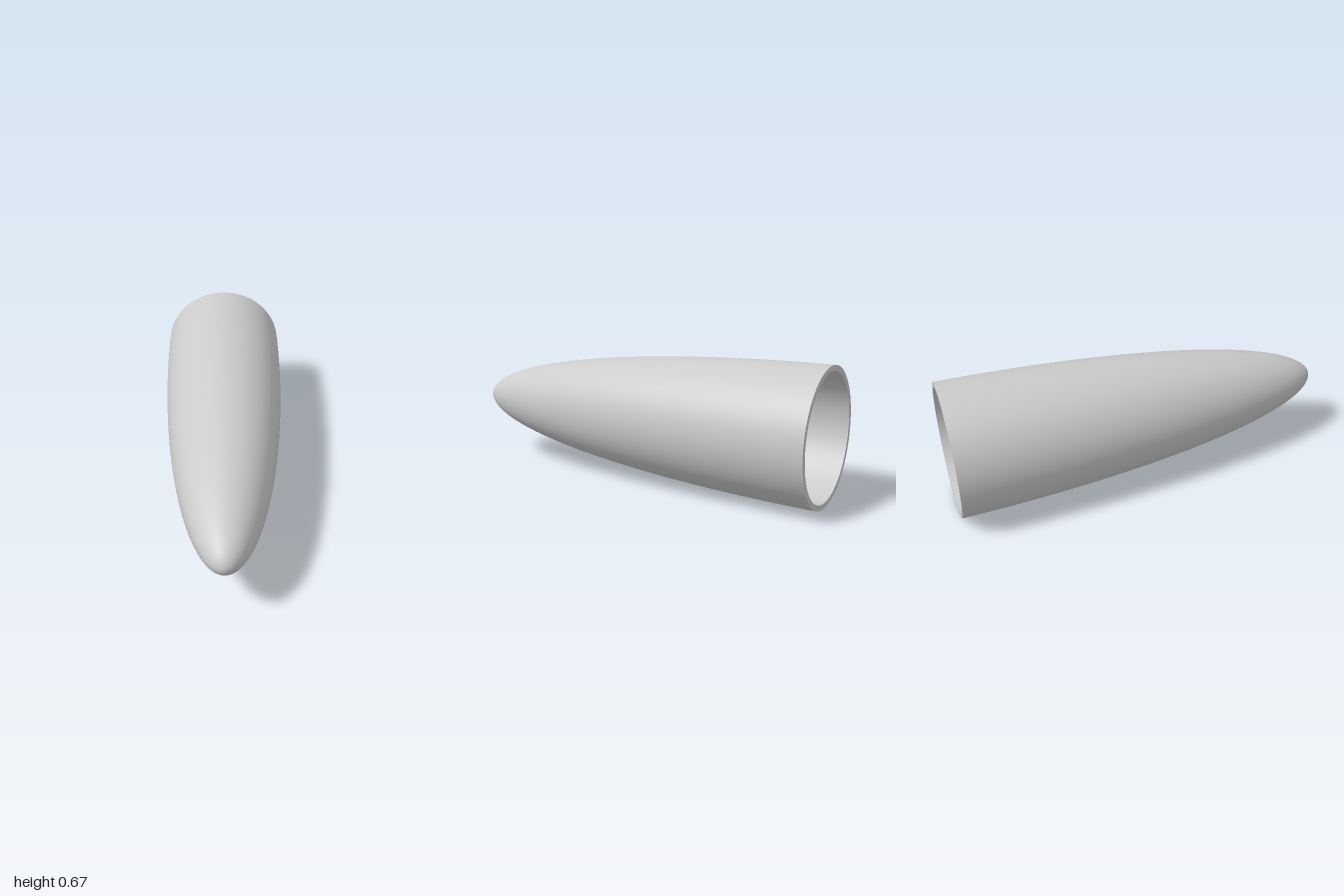
import * as THREE from 'three';

const R = 1 / 3, LENGTH = 2, WALL = 0.027, STEPS = 40, SIDES = 96;

// Quarter-ellipse profile from the open base (y = 0) up to the tip
function ellipseProfile(radius, length) {
  const pts = [];
  for (let i = 0; i <= STEPS; i++) {
    const a = (i / STEPS) * Math.PI / 2;
    pts.push(new THREE.Vector2(i === STEPS ? 0 : radius * Math.cos(a), length * Math.sin(a)));
  }
  return pts;
}

export function createModel() {
  const group = new THREE.Group();
  group.name = 'noseCone';
  const material = new THREE.MeshStandardMaterial({ color: 0xcccccc });

  // Turn a profile about the long axis, tip towards +z
  const addTurned = (name, points) => {
    const geometry = new THREE.LatheGeometry(points, SIDES);
    geometry.rotateX(Math.PI / 2).translate(0, R, -LENGTH / 2);
    const mesh = new THREE.Mesh(geometry, material);
    mesh.name = name;
    group.add(mesh);
  };

  // Outer skin
  addTurned('outerShell', ellipseProfile(R, LENGTH));
  // Hollow inside, profile reversed so it faces inwards
  addTurned('innerShell', ellipseProfile(R - WALL, LENGTH - WALL).reverse());
  // Flat ring closing the wall at the open back
  addTurned('baseRim', [new THREE.Vector2(R - WALL, 0), new THREE.Vector2(R, 0)]);

  return group;
}
